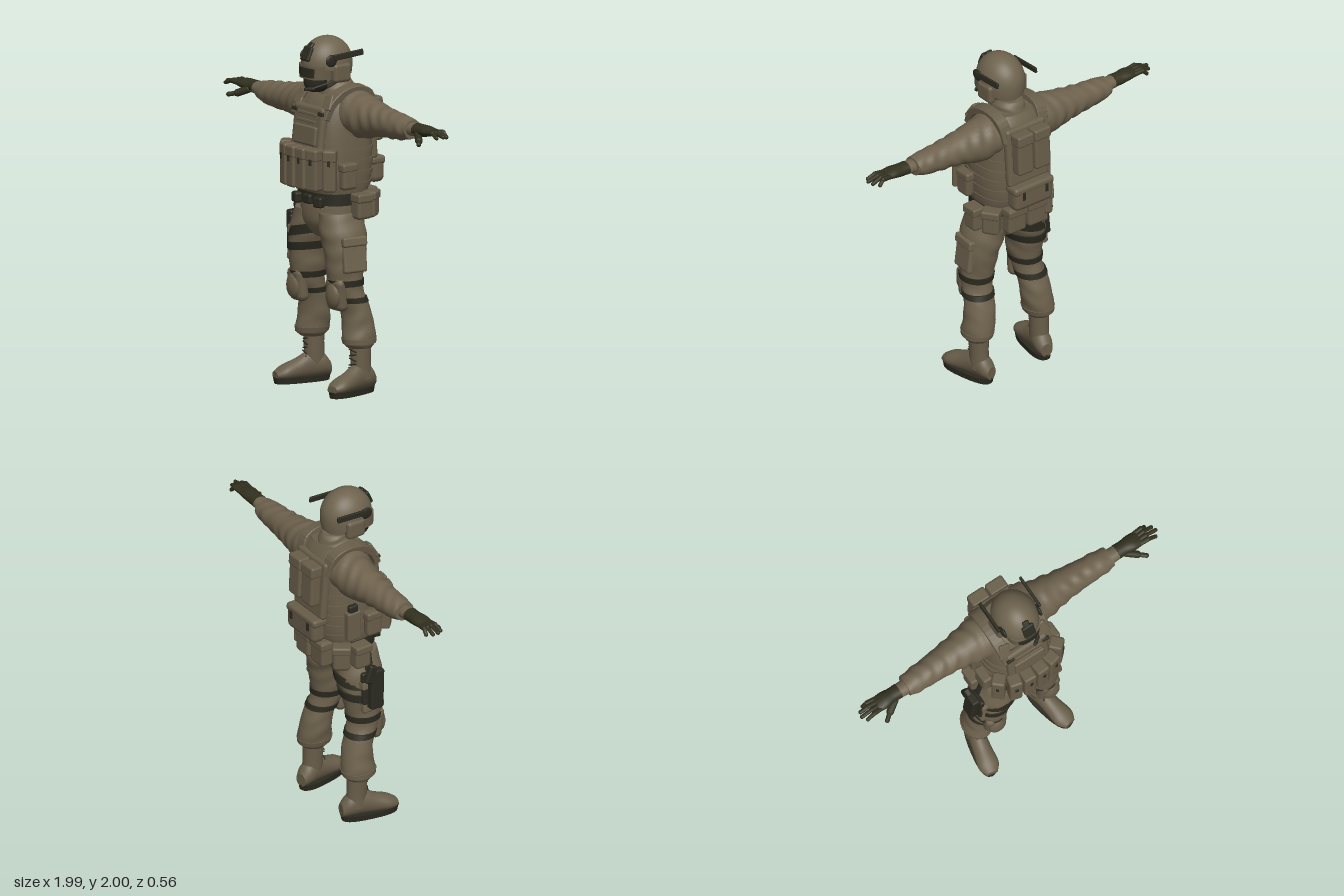
import * as THREE from 'three';
import { RoundedBoxGeometry } from 'three/addons/geometries/RoundedBoxGeometry.js';
import { mergeVertices } from 'three/addons/utils/BufferGeometryUtils.js';

const mat = (name, color, side = THREE.FrontSide) => {
  const m = new THREE.MeshStandardMaterial({ color, side });
  m.name = name;
  return m;
};

// Catmull-Rom sample of a list of section rows, t in 0..1
function sample(rows, t) {
  const f = t * (rows.length - 1), i = Math.min(Math.floor(f), rows.length - 2), u = f - i;
  const at = k => rows[Math.max(0, Math.min(rows.length - 1, k))];
  return rows[i].map((_, k) => {
    const [a, b, c, d] = [at(i - 1)[k], at(i)[k], at(i + 1)[k], at(i + 2)[k]];
    return b + 0.5 * u * (c - a + u * (2 * a - 5 * b + 4 * c - d + u * (3 * (b - c) + d - a)));
  });
}

// Loft along an axis. Row: [s, centreU, centreV, radiusU, radiusV]; (U,V) = y:(z,x) x:(y,z) z:(x,y)
function loft(axis, rows, { n = 28, p = 2, sub = 5, fold = 0, freq = 60 } = {}) {
  const w = 'xyz'.indexOf(axis), pos = [], idx = [], m = (rows.length - 1) * sub;
  const put = (s, u, v) => { const q = []; q[w] = s; q[(w + 1) % 3] = u; q[(w + 2) % 3] = v; pos.push(...q); };
  const rings = [];
  for (let i = 0; i <= m; i++) {
    const r = sample(rows, i / m);
    rings.push(r);
    for (let j = 0; j < n; j++) {
      const a = j / n * Math.PI * 2, c = Math.cos(a), s = Math.sin(a);
      const k = 1 + fold * Math.sin(freq * r[0] + 2 * Math.sin(a * 2 + 1)) * Math.sin(a + r[0] * 9);
      put(r[0], r[1] + k * r[3] * Math.sign(c) * Math.abs(c) ** (2 / p), r[2] + k * r[4] * Math.sign(s) * Math.abs(s) ** (2 / p));
    }
  }
  for (let i = 0; i < m; i++) for (let j = 0; j < n; j++) {
    const a = i * n + j, b = i * n + (j + 1) % n;
    idx.push(a, b, b + n, a, b + n, a + n);
  }
  for (const i of [0, m]) {
    const base = pos.length / 3;
    for (let j = 0; j < n; j++) pos.push(...pos.slice((i * n + j) * 3, (i * n + j) * 3 + 3));
    put(rings[i][0], rings[i][1], rings[i][2]);
    for (let j = 0; j < n; j++) {
      const a = base + j, b = base + (j + 1) % n;
      idx.push(base + n, ...(i ? [a, b] : [b, a]));
    }
  }
  const g = new THREE.BufferGeometry();
  g.setAttribute('position', new THREE.Float32BufferAttribute(pos, 3));
  g.setIndex(idx);
  g.computeVertexNormals();
  return g;
}

// Band hugging a lofted limb between two heights
function band(rows, y0, y1, grow, slope = 0, p = 2) {
  const at = y => {
    let best = rows[0];
    for (let t = 0; t <= 1; t += 0.005) { const r = sample(rows, t); if (Math.abs(r[0] - y) < Math.abs(best[0] - y)) best = r; }
    return [y, best[1], best[2], best[3] + grow, best[4] + grow];
  };
  const g = loft('y', [at(y0), at(y1)], { sub: 1, p });
  const a = g.attributes.position;
  for (let i = 0; i < a.count; i++) a.setY(i, a.getY(i) + slope * a.getX(i));
  return g;
}

const box = (w, h, d, x, y, z, rx = 0, ry = 0, rz = 0, r = 0.012) =>
  new RoundedBoxGeometry(w, h, d, 2, Math.min(r, w / 2.1, h / 2.1, d / 2.1))
    .applyMatrix4(new THREE.Matrix4().makeRotationFromEuler(new THREE.Euler(rx, ry, rz)).setPosition(x, y, z));

function capsule(a, b, r) {
  const p = new THREE.Vector3(...a), q = new THREE.Vector3(...b), d = q.clone().sub(p);
  const rot = new THREE.Quaternion().setFromUnitVectors(new THREE.Vector3(0, 1, 0), d.clone().normalize());
  return new THREE.CapsuleGeometry(r, d.length(), 4, 10).applyQuaternion(rot).translate(...p.add(q).multiplyScalar(0.5).toArray());
}

const ball = (rx, ry, rz, x, y, z) => new THREE.SphereGeometry(1, 24, 16).scale(rx, ry, rz).translate(x, y, z);

// Mirror across x, with corner order restored
function mirror(geo) {
  const g = geo.index ? geo.toNonIndexed() : geo.clone();
  for (const a of Object.values(g.attributes)) for (let i = 0; i < a.count; i += 3) for (let k = 0; k < a.itemSize; k++) {
    const t = a.getComponent(i + 1, k);
    a.setComponent(i + 1, k, a.getComponent(i + 2, k));
    a.setComponent(i + 2, k, t);
  }
  return g.scale(-1, 1, 1);
}

export function createModel() {
  const cloth = mat('cloth', 0x6e624d), gear = mat('gear', 0x685d49), shell = mat('helmet shell', 0x6e634e, THREE.DoubleSide);
  const dark = mat('dark webbing', 0x2b2a20), glove = mat('glove', 0x32311f);
  const root = new THREE.Group();
  const add = (name, m, g) => { const o = new THREE.Mesh(g, m); o.name = name; root.add(o); };
  const both = (name, m, g) => { add(name + 'Left', m, g); add(name + 'Right', m, mirror(g)); };

  // Trousers
  add('pelvis', cloth, loft('y', [[0.87, 0.03, 0, 0.08, 0.07], [0.95, 0.035, 0, 0.13, 0.17], [1.05, 0.02, 0, 0.15, 0.19], [1.13, 0.01, 0, 0.15, 0.185]]));
  const leg = [[0.26, -0.02, 0.218, 0.07, 0.065], [0.3, -0.017, 0.215, 0.1, 0.085], [0.4, -0.02, 0.2, 0.09, 0.09], [0.5, 0, 0.19, 0.083, 0.088],
    [0.6, 0.04, 0.175, 0.095, 0.085], [0.7, 0.045, 0.166, 0.112, 0.098], [0.8, 0.037, 0.16, 0.125, 0.108], [0.9, 0.035, 0.135, 0.137, 0.12], [1.02, 0.03, 0.105, 0.135, 0.105]];
  both('trouserLeg', cloth, loft('y', leg, { fold: 0.025, freq: 55, sub: 8 }));
  both('trouserCuff', cloth, band(leg, 0.285, 0.315, 0.004));

  // Boots
  both('bootShaft', gear, loft('y', [[0.08, -0.035, 0.215, 0.065, 0.052], [0.16, -0.03, 0.213, 0.06, 0.052], [0.3, -0.028, 0.213, 0.06, 0.055]]));
  const foot = g => g.rotateY(0.2).translate(0.22, 0, 0);
  both('bootFoot', gear, foot(loft('z', [[-0.125, 0, 0.065, 0.035, 0.04], [-0.08, 0, 0.09, 0.053, 0.065], [0, 0, 0.095, 0.05, 0.075], [0.08, 0, 0.075, 0.054, 0.058], [0.16, 0, 0.06, 0.06, 0.042], [0.21, 0, 0.048, 0.035, 0.022]])));
  both('bootSole', dark, foot(loft('y', [[0, 0.045, 0, 0.165, 0.056], [0.035, 0.045, 0, 0.172, 0.06]], { p: 2.6, sub: 1 })));
  for (let i = 0; i < 5; i++) both('bootLace' + i, dark, box(0.055, 0.008, 0.008, 0.22 - i * 0.001, 0.14 + i * 0.026, 0.035 - Math.min(i, 2) * 0.003, 0, 0.2, i % 2 ? 0.25 : -0.25, 0.003));

  // Knee pads and straps
  both('kneePad', gear, box(0.135, 0.19, 0.07, 0.178, 0.57, 0.11, 0.12, 0.1, -0.05, 0.034));
  both('kneeCap', gear, ball(0.055, 0.075, 0.035, 0.18, 0.565, 0.136));
  both('kneeStrapUpper', dark, band(leg, 0.615, 0.65, 0.007));
  both('kneeStrapLower', dark, band(leg, 0.52, 0.55, 0.006));

  // Thigh pockets, holster and its leg straps
  both('cargoPocket', cloth, box(0.04, 0.19, 0.15, 0.25, 0.79, 0.045, 0, -0.1, 0.12, 0.015));
  both('cargoFlap', cloth, box(0.045, 0.055, 0.155, 0.25, 0.87, 0.045, 0, -0.1, 0.12, 0.012));
  add('thighStrapUpper', dark, mirror(band(leg, 0.89, 0.945, 0.008, -0.22)));
  add('thighStrapLower', dark, mirror(band(leg, 0.79, 0.835, 0.008, -0.12)));
  add('holsterPlate', dark, box(0.03, 0.2, 0.14, -0.262, 0.85, 0.04, 0, 0, -0.06));
  add('holster', dark, box(0.05, 0.24, 0.085, -0.292, 0.85, 0.045, 0.06, 0, -0.04));
  add('pistolGrip', dark, box(0.035, 0.11, 0.05, -0.298, 0.955, 0.005, 0.35, 0, 0));
  add('holsterHanger', dark, box(0.02, 0.14, 0.05, -0.235, 1.02, 0.03, 0, 0, -0.2));

  // Belt and its pouches
  add('belt', dark, loft('y', [[1.065, 0.012, 0, 0.162, 0.2], [1.13, 0.01, 0, 0.165, 0.2]], { p: 2.5, sub: 1 }));
  add('buckle', dark, box(0.07, 0.055, 0.03, 0, 1.09, 0.178));
  both('beltFrontPouch', dark, box(0.06, 0.06, 0.05, 0.1, 1.085, 0.175, 0, 0.25, 0));
  const beltPouch = (side, x, z, ry, w, h = 0.14) => {
    const o = new THREE.Vector3(0, 0, 0.005).applyAxisAngle(new THREE.Vector3(0, 1, 0), ry);
    side('beltPouch', gear, box(w, h, 0.08, x, 1.06, z, 0, ry, 0, 0.02));
    side('beltPouchFlap', gear, box(w + 0.008, 0.05, 0.085, x + o.x, 1.11, z + o.z, 0, ry, 0, 0.012));
  };
  beltPouch(both, 0.235, -0.02, Math.PI / 2, 0.1);
  beltPouch(both, 0.19, -0.115, 2.2, 0.1, 0.15);
  beltPouch(both, 0.07, -0.165, Math.PI, 0.125, 0.16);

  // Torso, vest and webbing rows
  const torso = [[1.12, 0, 0, 0.165, 0.192], [1.2, 0, 0, 0.188, 0.203], [1.32, -0.002, 0, 0.193, 0.207], [1.44, -0.005, 0, 0.19, 0.2], [1.55, -0.015, 0, 0.178, 0.19], [1.64, -0.03, 0, 0.145, 0.175], [1.7, -0.045, 0, 0.09, 0.13]];
  add('vest', gear, loft('y', torso, { p: 2.6, n: 36 }));
  for (const y of [1.16, 1.225, 1.29, 1.355, 1.42]) add('webbingRow', gear, band(torso, y, y + 0.028, 0.006, 0, 2.6));
  add('chestPlate', gear, box(0.27, 0.26, 0.05, 0, 1.49, 0.162, -0.12, 0, 0, 0.022));
  add('adminPouch', gear, box(0.2, 0.11, 0.025, 0, 1.455, 0.192, -0.1, 0, 0));
  for (const y of [1.535, 1.575]) add('chestStrip', gear, box(0.17, 0.016, 0.012, 0, y, 0.188 - (y - 1.535) * 0.2, -0.12, 0, 0, 0.004));
  add('backPlate', gear, box(0.28, 0.36, 0.05, 0, 1.47, -0.178, 0.08, 0, 0, 0.022));

  // Shoulder straps: thick arched ribbons
  const arc = new THREE.CatmullRomCurve3([[0.172, 1.56], [0.135, 1.64], [0.06, 1.705], [-0.06, 1.725], [-0.145, 1.69], [-0.185, 1.58]].map(([z, y]) => new THREE.Vector3(z, y, 0)));
  const outer = arc.getPoints(20), mid = new THREE.Vector3(-0.02, 1.5, 0);
  const inner = outer.map(v => v.clone().lerp(mid, 0.16)).reverse();
  const strap = new THREE.ExtrudeGeometry(new THREE.Shape([...outer, ...inner].map(v => new THREE.Vector2(v.x, v.y))), { depth: 0.06, bevelSize: 0.004, bevelThickness: 0.004, bevelSegments: 1 });
  both('shoulderStrap', gear, strap.rotateY(-Math.PI / 2).rotateZ(-0.12).translate(-0.035, 0.012, 0));
  both('strapPad', gear, box(0.065, 0.1, 0.022, 0.128, 1.645, 0.13, -0.5, 0, 0.25));
  both('strapBuckle', dark, box(0.045, 0.022, 0.015, 0.118, 1.585, 0.176, -0.2, 0, 0, 0.004));

  // Magazine pouches around the front
  for (const [x, z, ry] of [[0.042, 0.236, 0.06], [0.122, 0.222, 0.25], [0.193, 0.17, 0.75]]) {
    both('magazinePouch', gear, box(0.074, 0.23, 0.075, x, 1.275, z, 0, ry, 0, 0.014));
    both('magazineFlap', gear, box(0.079, 0.07, 0.081, x, 1.362, z, 0, ry, 0, 0.014));
    both('pullTab', dark, box(0.018, 0.035, 0.006, x + 0.043 * Math.sin(ry), 1.325, z + 0.043 * Math.cos(ry), 0, ry, 0, 0.002));
  }
  both('sidePouch', gear, box(0.055, 0.14, 0.1, 0.228, 1.235, 0.07, 0, 0, 0, 0.02));
  both('sideFlap', gear, box(0.06, 0.05, 0.106, 0.228, 1.29, 0.07, 0, 0, 0, 0.014));
  add('radioPouch', gear, box(0.05, 0.18, 0.09, -0.218, 1.26, -0.06));
  add('radio', dark, box(0.035, 0.06, 0.06, -0.218, 1.36, -0.06));

  // Back pouches
  both('backTallPouch', gear, box(0.108, 0.25, 0.07, 0.06, 1.51, -0.23, 0.05, 0, 0, 0.018));
  both('backTallFlap', gear, box(0.113, 0.07, 0.078, 0.06, 1.6, -0.227, 0.05, 0, 0, 0.014));
  add('backLowPouch', gear, box(0.27, 0.145, 0.095, 0, 1.225, -0.22, 0, 0, 0, 0.035));
  add('backLowFlap', gear, box(0.278, 0.05, 0.1, 0, 1.28, -0.218, 0, 0, 0, 0.02));
  for (const x of [-0.08, 0.08]) add('backBuckle', dark, box(0.02, 0.05, 0.008, x, 1.25, -0.27, 0, 0, 0, 0.003));

  // Sleeves with folds
  both('sleeve', cloth, loft('x', [[0.04, 1.6, -0.04, 0.1, 0.1], [0.14, 1.585, -0.04, 0.118, 0.125], [0.24, 1.567, -0.042, 0.122, 0.115], [0.34, 1.568, -0.042, 0.102, 0.097], [0.44, 1.567, -0.04, 0.085, 0.085],
    [0.54, 1.564, -0.037, 0.076, 0.076], [0.62, 1.565, -0.035, 0.067, 0.072], [0.68, 1.566, -0.033, 0.052, 0.062]], { fold: 0.045, freq: 75, sub: 9 }));
  both('cuff', cloth, loft('x', [[0.655, 1.568, -0.033, 0.054, 0.063], [0.685, 1.568, -0.033, 0.052, 0.06]], { sub: 1 }));
  both('wrist', cloth, loft('x', [[0.66, 1.57, -0.03, 0.04, 0.046], [0.76, 1.575, -0.03, 0.034, 0.042]], { sub: 2 }));

  // Gloves
  both('gloveHand', glove, loft('x', [[0.73, 1.577, -0.03, 0.036, 0.045], [0.775, 1.577, -0.03, 0.036, 0.043], [0.83, 1.582, -0.028, 0.03, 0.05], [0.88, 1.582, -0.028, 0.018, 0.046]]));
  for (const [z, tz, tx, ty] of [[-0.062, -0.07, 0.945, 1.562], [-0.04, -0.045, 0.975, 1.57], [-0.017, -0.016, 0.985, 1.575], [0.005, 0.014, 0.965, 1.57]]) {
    both('finger', glove, capsule([0.86, 1.582, z], [0.92, 1.588, (z + tz) / 2], 0.0135));
    both('fingertip', glove, capsule([0.92, 1.588, (z + tz) / 2], [tx, ty, tz], 0.0115));
  }
  both('thumbBase', glove, capsule([0.775, 1.56, 0], [0.83, 1.535, 0.035], 0.021));
  both('thumbTip', glove, capsule([0.83, 1.535, 0.035], [0.87, 1.525, 0.066], 0.0135));

  // Collar, neck and head
  add('collar', cloth, loft('y', [[1.65, -0.03, 0, 0.11, 0.12], [1.7, -0.025, 0, 0.1, 0.095], [1.735, -0.03, 0, 0.085, 0.08], [1.755, -0.03, 0, 0.07, 0.068]], { fold: 0.05, freq: 120 }));
  add('neck', gear, loft('y', [[1.68, -0.015, 0, 0.065, 0.06], [1.82, 0, 0, 0.075, 0.07]], { sub: 2 }));
  add('head', gear, loft('y', [[1.705, 0.09, 0, 0.05, 0.04], [1.735, 0.07, 0, 0.09, 0.075], [1.79, 0.055, 0, 0.11, 0.092], [1.86, 0.05, 0, 0.125, 0.1], [1.92, 0.045, 0, 0.1, 0.09]]));
  add('faceMask', dark, loft('y', [[1.695, 0.115, 0, 0.045, 0.04], [1.725, 0.11, 0, 0.075, 0.068], [1.77, 0.105, 0, 0.084, 0.08], [1.83, 0.105, 0, 0.075, 0.09]]));

  // Helmet: dome with a rim that drops towards the back
  const dome = new THREE.SphereGeometry(1, 40, 24, 0, Math.PI * 2, 0, Math.PI / 2);
  const dp = dome.attributes.position, v = new THREE.Vector3();
  for (let i = 0; i < dp.count; i++) {
    v.fromBufferAttribute(dp, i);
    const t = Math.acos(Math.min(1, v.y)), phi = Math.atan2(v.x, v.z), t2 = t * (1.02 + 0.3 * (1 - Math.cos(phi)) / 2);
    const y = Math.cos(t2), r = y < 0 ? Math.sqrt(1 - y * y * 0.4) : Math.sin(t2);
    dp.setXYZ(i, Math.sin(phi) * r * 0.128, 1.85 + y * 0.15, 0.045 + Math.cos(phi) * r * 0.152);
  }
  dome.deleteAttribute('normal');
  dome.deleteAttribute('uv');
  const helmet = mergeVertices(dome, 1e-5);
  helmet.computeVertexNormals();
  add('helmet', shell, helmet);
  add('helmetMount', dark, box(0.075, 0.085, 0.022, 0, 1.912, 0.183, -0.42, 0, 0));
  add('helmetMountTop', dark, box(0.04, 0.04, 0.02, 0, 1.955, 0.155, -0.75, 0, 0));
  both('helmetRail', dark, box(0.016, 0.034, 0.2, 0.136, 1.905, -0.005, 0.06, 0, 0.1, 0.006));
  both('helmetSidePatch', dark, ball(0.012, 0.035, 0.04, 0.118, 1.88, 0.1));
  both('earCup', gear, box(0.05, 0.11, 0.12, 0.112, 1.805, 0.03, 0, 0, 0, 0.022));
  both('chinStrap', gear, capsule([0.1, 1.79, 0.07], [0.035, 1.705, 0.125], 0.009));

  // Goggles and microphone
  add('goggleFrame', gear, loft('y', [[1.772, 0.1, 0, 0.097, 0.1], [1.848, 0.1, 0, 0.097, 0.106]], { p: 2.8, sub: 1 }));
  add('goggleLens', dark, loft('y', [[1.782, 0.115, 0, 0.088, 0.086], [1.835, 0.115, 0, 0.088, 0.092]], { p: 2.8, sub: 1 }));
  add('microphoneBoom', dark, capsule([0.105, 1.76, 0.07], [0.06, 1.725, 0.185], 0.006));
  add('microphone', dark, capsule([0.06, 1.722, 0.185], [0.025, 1.718, 0.21], 0.011));
  return root;
}
